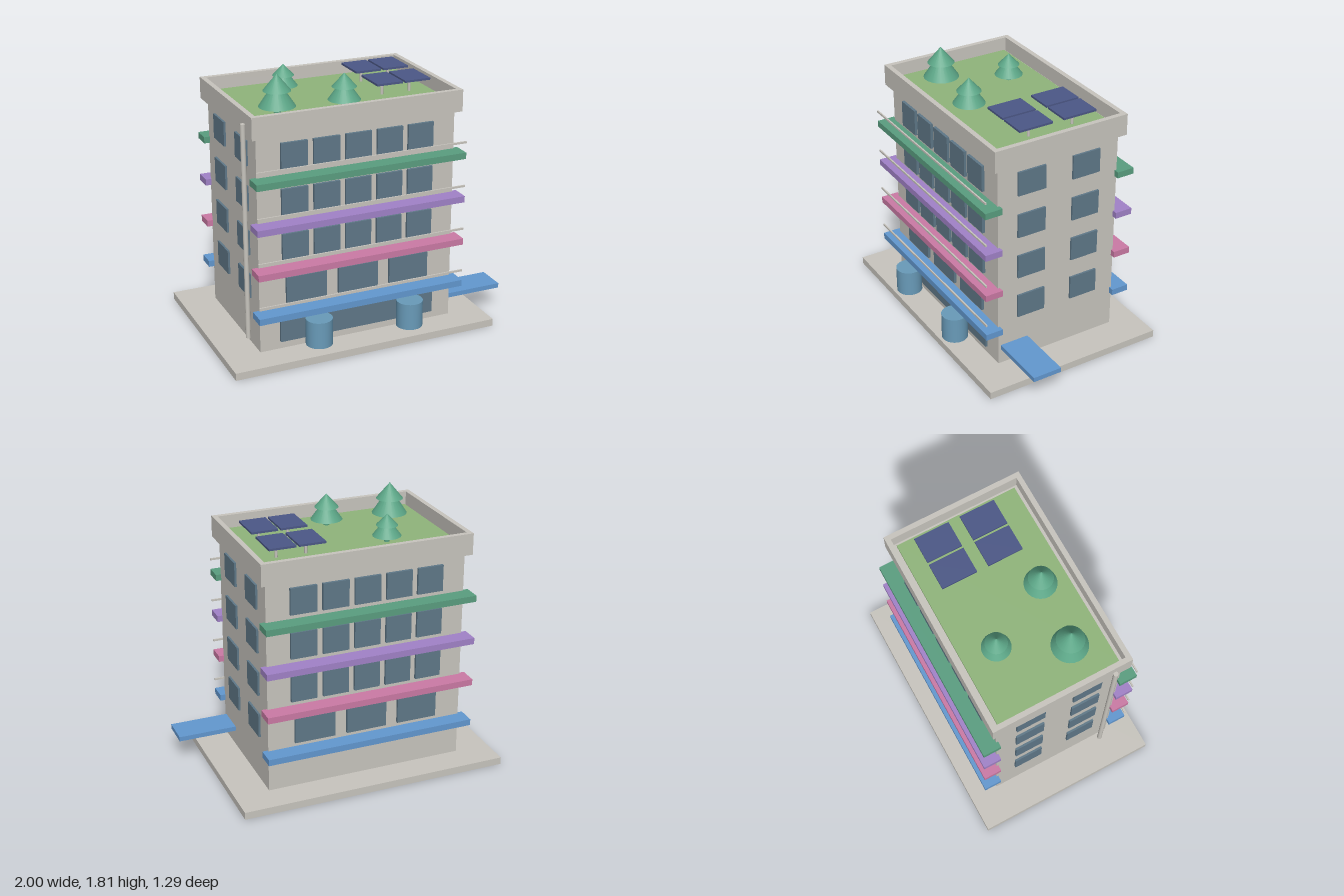
import * as THREE from 'three';

const mat = (name, color) => Object.assign(new THREE.MeshStandardMaterial({ color }), { name });

export function createModel() {
  const concrete = mat('concrete', 0xc8c5be);
  const glass = mat('window glass', 0x5f7888);
  const tankBlue = mat('tank blue', 0x699bb9);
  const green = mat('green balcony', 0x5a9e80);
  const purple = mat('purple balcony', 0xa182c8);
  const pink = mat('pink balcony', 0xcb7aa5);
  const blue = mat('blue balcony', 0x6298d0);
  const panelBlue = mat('solar panel', 0x4c5887);
  const grass = mat('grass', 0x90b57b);
  const leaf = mat('tree', 0x5ba586);

  const model = new THREE.Group();
  model.name = 'apartmentBuilding';
  const CX = -0.08, CZ = -0.004; // centre of the tower

  const add = (name, geometry, material, x, y, z) => {
    const mesh = new THREE.Mesh(geometry, material);
    mesh.name = name;
    mesh.position.set(x, y, z);
    model.add(mesh);
    return mesh;
  };
  // Box given by its extents on each axis
  const box = (name, material, [x0, x1], [y0, y1], [z0, z1]) =>
    add(name, new THREE.BoxGeometry(x1 - x0, y1 - y0, z1 - z0), material,
      (x0 + x1) / 2, (y0 + y1) / 2, (z0 + z1) / 2);
  const mid = (c, size) => [c - size / 2, c + size / 2];

  // Base slab and tower
  box('baseSlab', concrete, [-1, 0.835], [0, 0.05], mid(CZ, 1.277));
  box('tower', concrete, mid(CX, 1.36), [0.05, 1.53], mid(CZ, 0.88));

  // Parapet: a rectangular ring, extruded upwards
  const ring = new THREE.Shape();
  const rect = (path, w, d) => path.moveTo(-w, -d).lineTo(w, -d).lineTo(w, d).lineTo(-w, d).closePath();
  rect(ring, 0.717, 0.48);
  const hole = new THREE.Path();
  rect(hole, 0.683, 0.446);
  ring.holes.push(hole);
  const parapet = new THREE.ExtrudeGeometry(ring, { depth: 0.145, bevelEnabled: false });
  parapet.rotateX(-Math.PI / 2);
  add('parapet', parapet, concrete, CX, 1.495, CZ);
  box('roofSlab', concrete, mid(CX, 1.368), [1.5, 1.54], mid(CZ, 0.894));
  box('roofLawn', grass, mid(CX, 1.326), [1.53, 1.56], mid(CZ, 0.843));

  // Floors: windows on all sides, balconies front and back, rail at the front
  [blue, pink, purple, green].forEach((colour, floor) => {
    const y = 0.459 + floor * 0.2995;
    const [count, width, step] = floor === 0 ? [3, 0.278, 0.361] : [5, 0.177, 0.217];
    for (const side of [1, -1]) {
      for (let i = 0; i < count; i++) {
        box('window', glass, mid(CX + (i - (count - 1) / 2) * step, width), mid(y, 0.178),
          mid(CZ + side * 0.447, 0.024));
      }
      for (const z of [-0.2, 0.2]) {
        box('sideWindow', glass, mid(CX + side * 0.683, 0.022), mid(y - 0.002, 0.165), mid(CZ + z, 0.2));
      }
      box('balcony', colour, mid(CX - 0.002, 1.436), mid(y - 0.141, 0.043), mid(CZ + side * 0.488, 0.122));
    }
    box('rail', concrete, mid(CX - 0.002, 1.436), mid(y - 0.049, 0.013), mid(0.541, 0.01));
  });

  // Ground floor glazing and entrance canopy
  box('shopWindow', glass, mid(CX, 1.088), [0.102, 0.246], mid(CZ + 0.447, 0.02));
  box('canopy', blue, [0.58, 1], [0.158, 0.19], [0.215, 0.417]);

  // Water tanks
  for (const x of [-0.402, 0.242]) {
    add('tank', new THREE.CylinderGeometry(0.0875, 0.0875, 0.18, 32), tankBlue, x, 0.19, 0.557);
  }

  // Drain pipe
  add('drainPipe', new THREE.CylinderGeometry(0.016, 0.016, 1.44, 16), concrete, -0.81, 0.85, 0.355);

  // Roof trees: two stacked cones on a short trunk
  for (const [x, z, r, top] of [[-0.522, 0.195, 0.118, 1.81], [-0.32, -0.204, 0.094, 1.745], [-0.083, 0.236, 0.106, 1.775]]) {
    const base = 1.6, h = top - base;
    add('treeLower', new THREE.ConeGeometry(r, h * 0.85, 24), leaf, x, base + h * 0.425, z);
    add('treeUpper', new THREE.ConeGeometry(r * 0.76, h * 0.52, 24), leaf, x, top - h * 0.26, z);
    add('treeTrunk', new THREE.CylinderGeometry(r * 0.2, r * 0.2, 0.06, 12), leaf, x, 1.58, z);
  }

  // Solar panels on posts
  for (const x of [0.238, 0.436]) {
    for (const z of [-0.204, 0.116]) {
      box('solarPanel', panelBlue, mid(x, 0.18), [1.654, 1.668], mid(z, 0.241));
      add('panelPost', new THREE.CylinderGeometry(0.01, 0.01, 0.1, 10), concrete, x, 1.606, z);
    }
  }
  return model;
}
